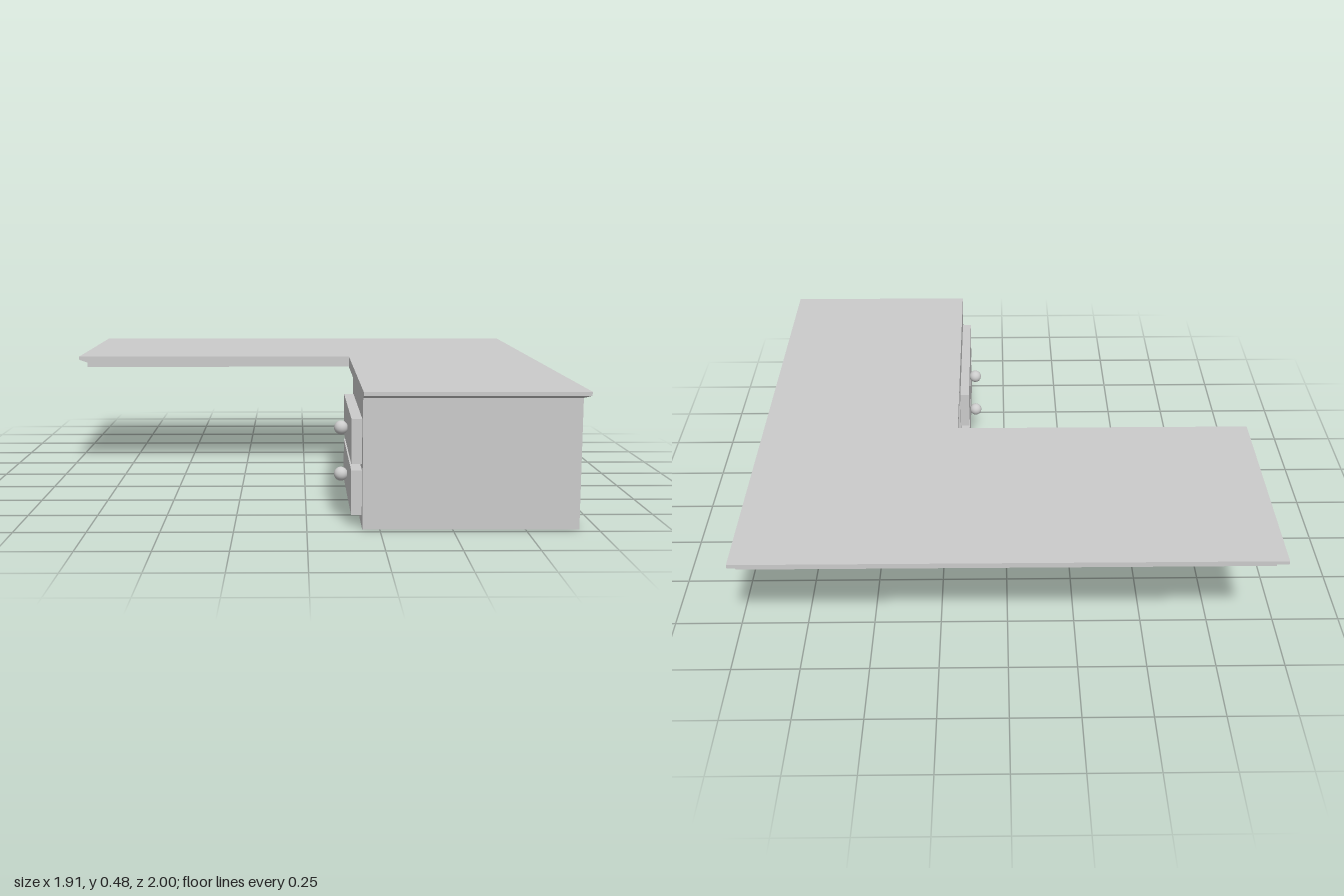
import * as THREE from 'three';

const material = new THREE.MeshStandardMaterial({ color: 0xcccccc });

function addMesh(parent, name, geometry, x = 0, y = 0, z = 0) {
  const mesh = new THREE.Mesh(geometry, material);
  mesh.name = name;
  mesh.position.set(x, y, z);
  parent.add(mesh);
  return mesh;
}

// L-shaped plan, counter-clockwise in (x, -z); the inner corner edges stay flush
function outline(left, right, end) {
  return [[left, 0.145], [0.19, 0.145], [0.19, -end], [right, -end], [right, end], [left, end]]
    .map(([x, y]) => new THREE.Vector2(x, y));
}

// Joins stacked plans, bottom to top, with flat walls and caps both ends
function loft(layers) {
  const position = [];
  const put = (layer, i) => {
    const p = layer.plan[i % layer.plan.length];
    position.push(p.x, layer.y, -p.y);
  };
  for (let k = 0; k < layers.length - 1; k++) {
    const a = layers[k], b = layers[k + 1];
    for (let i = 0; i < a.plan.length; i++) {
      put(a, i); put(a, i + 1); put(b, i + 1);
      put(a, i); put(b, i + 1); put(b, i);
    }
  }
  const bottom = layers[0], top = layers[layers.length - 1];
  for (const [a, b, c] of THREE.ShapeUtils.triangulateShape(top.plan, [])) {
    put(top, a); put(top, b); put(top, c);
    put(bottom, c); put(bottom, b); put(bottom, a);
  }
  const geometry = new THREE.BufferGeometry();
  geometry.setAttribute('position', new THREE.Float32BufferAttribute(position, 3));
  geometry.computeVertexNormals();
  return geometry;
}

export function createModel() {
  const desk = new THREE.Group();
  desk.name = 'cornerDesk';

  // Worktop: thin slab with a bevelled underside and a recessed lower board
  const outer = outline(-0.957, 0.957, 1);
  const inner = outline(-0.923, 0.935, 0.97);
  addMesh(desk, 'worktop', loft([
    { y: 0.436, plan: inner },
    { y: 0.455, plan: inner },
    { y: 0.466, plan: outer },
    { y: 0.48, plan: outer },
  ]));

  // Drawer cabinet under the front wing
  addMesh(desk, 'cabinet', new THREE.BoxGeometry(0.745, 0.436, 0.73), 0.5625, 0.218, 0.605);

  // Two drawers facing the seat, each with a round knob
  [0.12, 0.299].forEach((y, i) => {
    const drawer = new THREE.Group();
    drawer.name = i ? 'upperDrawer' : 'lowerDrawer';
    drawer.position.set(0.172, y, 0.604);
    addMesh(drawer, 'drawerFront', new THREE.BoxGeometry(0.038, 0.156, 0.644));
    addMesh(drawer, 'knob', new THREE.SphereGeometry(0.026, 24, 16), -0.042, i ? -0.006 : -0.001, -0.016);
    desk.add(drawer);
  });

  return desk;
}
